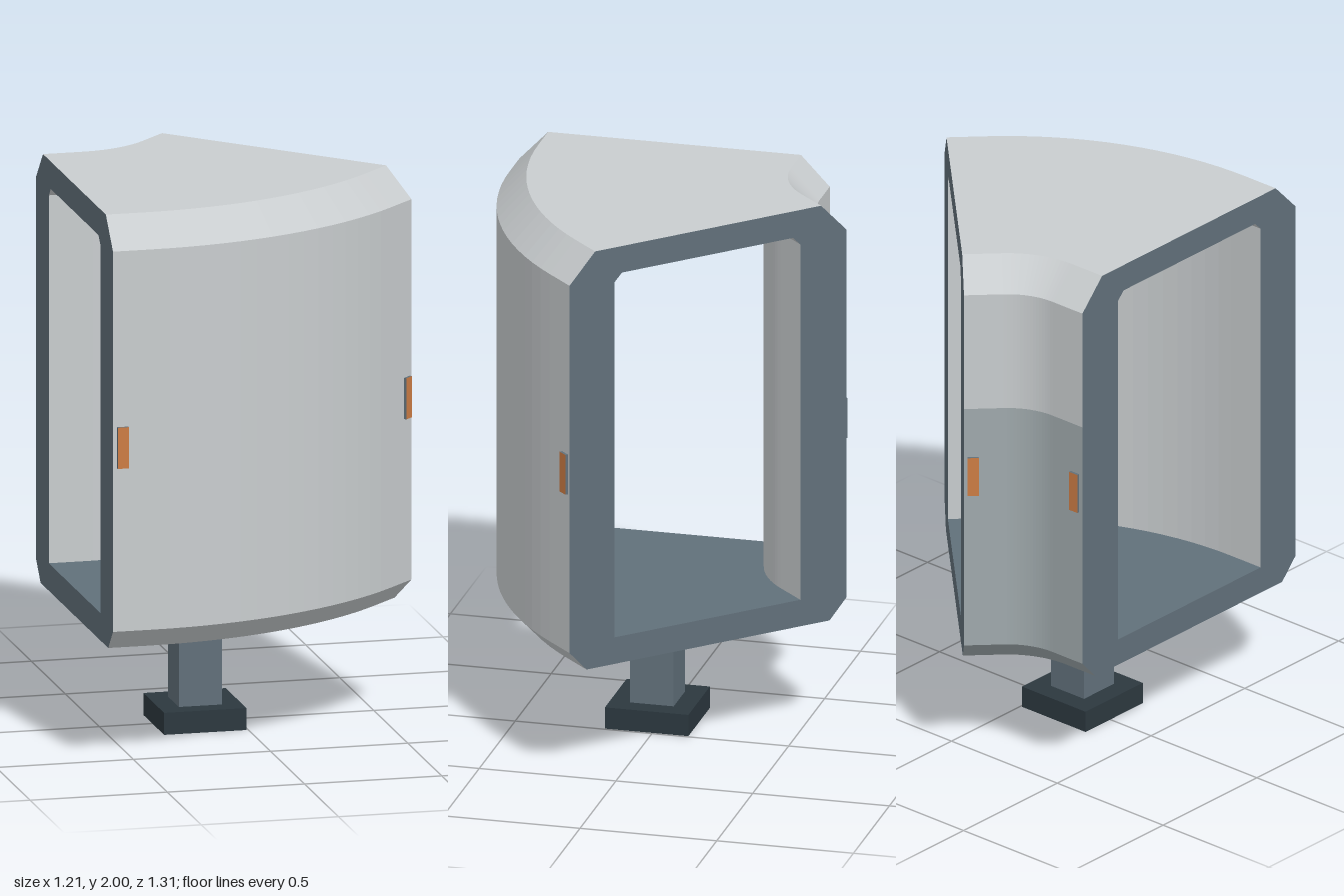
import * as THREE from 'three';

const paint = (name, color) => Object.assign(new THREE.MeshStandardMaterial({ color }), { name });

// Plan of the bend: a straight run, a 45 degree arc, a straight run
const CX = -0.47, CZ = -0.731, RI = 0.241, RO = 1.376, RUN = 0.14, TURN = Math.PI / 4, STEPS = 16;

// Point at radius r and height y, at angle t, shifted by e along the path
const place = (r, y, t, e) => [
  CX + r * Math.sin(t) + e * Math.cos(t), y,
  CZ + r * Math.cos(t) - e * Math.sin(t),
];

const stations = [[0, -RUN]];
for (let i = 0; i <= STEPS; i++) stations.push([TURN * i / STEPS, 0]);
stations.push([TURN, RUN]);

// Sweeps an open chain of [r, y] points along the bend
function sweep(name, chain, material) {
  const pos = [];
  for (let i = 0; i < stations.length - 1; i++) {
    for (let j = 0; j < chain.length - 1; j++) {
      const a = place(...chain[j], ...stations[i]);
      const b = place(...chain[j], ...stations[i + 1]);
      const c = place(...chain[j + 1], ...stations[i + 1]);
      const d = place(...chain[j + 1], ...stations[i]);
      pos.push(...a, ...b, ...c, ...a, ...c, ...d);
    }
  }
  const g = new THREE.BufferGeometry();
  g.setAttribute('position', new THREE.Float32BufferAttribute(pos, 3));
  g.computeVertexNormals();
  const mesh = new THREE.Mesh(g, material);
  mesh.name = name;
  return mesh;
}

// Flat end frame of the corridor
function endFrame(name, outline, opening, [t, e], flip, material) {
  const toV = ([x, y]) => new THREE.Vector2(x, y);
  const shape = new THREE.Shape(outline.map(toV));
  shape.holes.push(new THREE.Path(opening.map(toV)));
  const g = new THREE.ShapeGeometry(shape);
  const p = g.attributes.position;
  for (let i = 0; i < p.count; i++) p.setXYZ(i, ...place(p.getX(i), p.getY(i), t, e));
  if (flip) g.index.array.reverse();
  g.computeVertexNormals();
  const mesh = new THREE.Mesh(g, material);
  mesh.name = name;
  return mesh;
}

export function createModel() {
  const model = new THREE.Group();
  model.name = 'curvedCorridor';
  const hull = paint('hullGrey', 0xc9cdcf);
  const panel = paint('panelGrey', 0xa0aaad);
  const steel = paint('steelBlue', 0x61707a);
  const dark = paint('darkSlate', 0x2c383f);
  const orange = paint('orange', 0xcc7c44);

  // Cross-section of the shell, split by colour
  const lower = [[RI, 1.44], [RI, 0.505], [RI + 0.07, 0.43], [RO - 0.07, 0.43]];
  const upper = [[RO - 0.07, 0.43], [RO, 0.505], [RO, 1.89], [RO - 0.105, 2],
    [RI + 0.105, 2], [RI, 1.89], [RI, 1.44]];
  model.add(sweep('lowerPanel', lower, panel), sweep('outerShell', upper, hull));

  // Passage inside
  const h0 = RI + 0.19, h1 = RO - 0.185;
  const lining = [[h0, 0.53], [h0, 1.87], [h0 + 0.03, 1.9], [h1 - 0.03, 1.9], [h1, 1.87], [h1, 0.53]];
  model.add(sweep('innerLining', lining, hull));
  model.add(sweep('floor', [[h1, 0.53], [h0, 0.53]], steel));

  // End frames
  const outline = [...lower.slice(1), ...upper.slice(1, -1)];
  model.add(endFrame('startFrame', outline, lining, [0, -RUN], false, steel));
  model.add(endFrame('endFrame', outline, lining, [TURN, RUN], true, steel));

  // Latches on both walls at both ends, orange on the outward face
  for (const [t, e] of [[0, -RUN + 0.035], [TURN, RUN - 0.032]]) {
    for (const [r, face] of [[RO, 4], [RI, 5]]) {
      const mats = Array(6).fill(steel);
      mats[face] = orange;
      const latch = new THREE.Mesh(new THREE.BoxGeometry(0.04, 0.15, 0.02), mats);
      latch.name = 'latch';
      latch.position.set(...place(r, 1.175, t, e));
      latch.rotation.y = t;
      model.add(latch);
    }
  }

  // Support stand
  const box = (name, w, d, y0, y1, material) => {
    const mesh = new THREE.Mesh(new THREE.BoxGeometry(w, y1 - y0, d), material);
    mesh.name = name;
    mesh.position.set(-0.157, (y0 + y1) / 2, 0.021);
    model.add(mesh);
  };
  box('foot', 0.3, 0.305, 0, 0.08, dark);
  box('post', 0.157, 0.16, 0.08, 0.39, steel);
  box('mountPlate', 0.288, 0.245, 0.388, 0.432, panel);

  return model;
}
